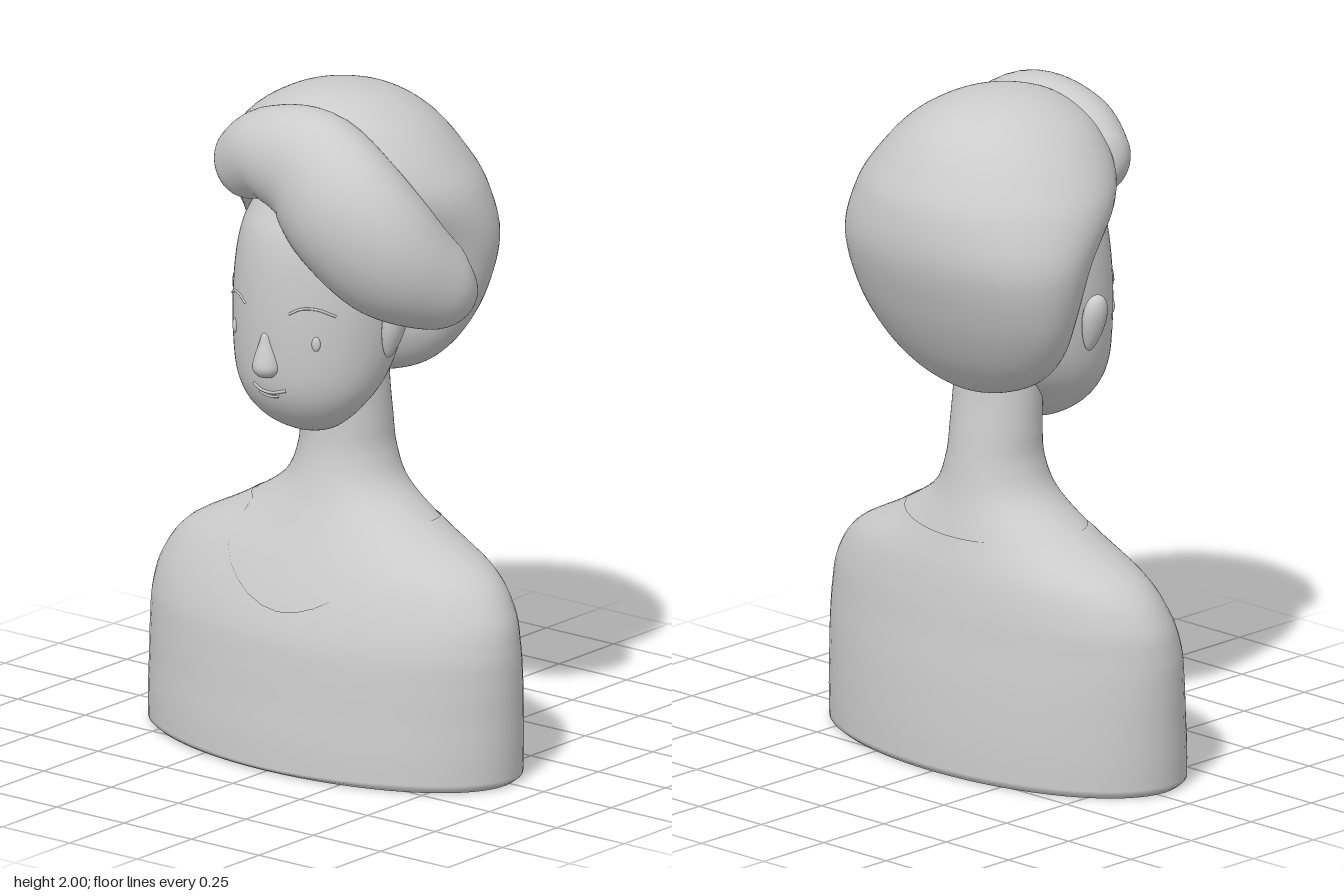
import * as THREE from 'three';

const material = new THREE.MeshStandardMaterial({ color: 0xcccccc });
const openMaterial = new THREE.MeshStandardMaterial({ color: 0xcccccc, side: THREE.DoubleSide });
const V = (x, y, z) => new THREE.Vector3(x, y, z);
const SIDES = 64;

// Smooth interpolation between the rows of a station table; k is a fractional row index.
function sample(table, k) {
  const last = table.length - 1;
  const i = Math.min(Math.floor(k), last - 1), f = k - i;
  return table[i].map((_, c) => {
    const p1 = table[i][c], p2 = table[i + 1][c];
    const p0 = i > 0 ? table[i - 1][c] : 2 * p1 - p2;
    const p3 = i + 2 <= last ? table[i + 2][c] : 2 * p2 - p1;
    return p1 + 0.5 * f * (p2 - p0 + f * (2 * p0 - 5 * p1 + 4 * p2 - p3 + f * (3 * (p1 - p2) + p3 - p0)));
  });
}

// Point on a horizontal oval; angle 0 faces front.
function ovalPoint([y, w, zf, zb], a, inset = 0) {
  return V((w - inset) * Math.sin(a), y, (zf + zb) / 2 + ((zf - zb) / 2 - inset) * Math.cos(a));
}

// Skin closed rings of points into a smooth surface: ringPoint(v, angle), v from 0 to 1.
function loft(rows, ringPoint) {
  const pos = [], index = [];
  for (let i = 0; i <= rows; i++) {
    for (let j = 0; j < SIDES; j++) {
      pos.push(...ringPoint(i / rows, (j / SIDES) * Math.PI * 2).toArray());
      if (i === rows) continue;
      const a = i * SIDES + j, b = i * SIDES + (j + 1) % SIDES;
      index.push(a, b, b + SIDES, a, b + SIDES, a + SIDES);
    }
  }
  const g = new THREE.BufferGeometry();
  g.setAttribute('position', new THREE.Float32BufferAttribute(pos, 3));
  g.setIndex(index);
  g.computeVertexNormals();
  return g;
}

const loftTable = (table, rows) =>
  loft(rows, (v, a) => ovalPoint(sample(table, v * (table.length - 1)), a));

// Torso and neck: [y, half width, front z, back z] every 0.1 in height
const BODY = [
  [0, 0.642, 0.36, -0.305], [0.1, 0.645, 0.355, -0.303], [0.2, 0.645, 0.345, -0.297],
  [0.3, 0.645, 0.335, -0.288], [0.4, 0.64, 0.32, -0.275], [0.5, 0.615, 0.285, -0.262],
  [0.6, 0.535, 0.24, -0.243], [0.7, 0.35, 0.19, -0.215], [0.8, 0.2, 0.145, -0.188],
  [0.9, 0.15, 0.117, -0.17], [1.0, 0.143, 0.11, -0.155], [1.1, 0.142, 0.11, -0.14],
  [1.2, 0.142, 0.11, -0.13],
];

// Head, from chin to crown
const HEAD = [
  [0.988, 0, 0.14, 0.14], [0.998, 0.065, 0.195, 0.09], [1.03, 0.125, 0.255, 0.06],
  [1.08, 0.178, 0.305, 0.01], [1.15, 0.22, 0.338, -0.06], [1.25, 0.243, 0.351, -0.12],
  [1.4, 0.25, 0.355, -0.16], [1.55, 0.235, 0.345, -0.16], [1.65, 0.205, 0.315, -0.15],
  [1.73, 0.14, 0.25, -0.1], [1.77, 0, 0.06, 0.06],
];

// Main mass of hair, from nape to crown
const HAIR = [
  [1.117, 0, -0.115, -0.115], [1.13, 0.11, -0.06, -0.16], [1.18, 0.235, 0, -0.215],
  [1.27, 0.33, 0.04, -0.28], [1.4, 0.395, 0.06, -0.345], [1.56, 0.43, 0.12, -0.395],
  [1.7, 0.417, 0.25, -0.388], [1.8, 0.365, 0.29, -0.345], [1.9, 0.275, 0.26, -0.272],
  [1.965, 0.17, 0.18, -0.175], [1.993, 0.08, 0.09, -0.07], [2.0, 0, 0.01, 0.01],
];

// Swept fringe: [x, y, z, half height, half depth] along its spine
const FRINGE = [
  [-0.265, 1.75, 0.2, 0.085, 0.07], [-0.19, 1.775, 0.215, 0.11, 0.095],
  [-0.07, 1.82, 0.225, 0.145, 0.13], [0.08, 1.8, 0.225, 0.185, 0.15],
  [0.215, 1.69, 0.225, 0.205, 0.168], [0.32, 1.56, 0.16, 0.19, 0.165],
  [0.405, 1.47, 0.05, 0.135, 0.13], [0.45, 1.43, -0.05, 0.09, 0.09],
];

// Height of the scooped neckline around the body
function neckline(a) {
  const t = Math.abs(a > Math.PI ? a - 2 * Math.PI : a);
  return 0.47 + 0.255 * THREE.MathUtils.smoothstep(t, 0, 0.96) - 0.03 * THREE.MathUtils.smoothstep(t, 1.6, Math.PI);
}

function fringeGeometry() {
  const n = FRINGE.length - 1;
  const at = k => { const r = sample(FRINGE, k); return V(r[0], r[1], r[2]); };
  return loft(64, (v, a) => {
    const t = (1 - Math.cos(v * Math.PI)) / 2, k = t * n;
    const T = at(Math.min(k + 0.05, n)).sub(at(Math.max(k - 0.05, 0))).normalize();
    const D = V(0, 0, 1).addScaledVector(T, -T.z).normalize();
    const A = T.clone().cross(D);
    // rounded ends
    const e = Math.max(0, 1 - t / 0.14, 1 - (1 - t) / 0.16);
    const round = Math.sqrt(Math.max(0, 1 - e * e));
    const [, , , h, d] = sample(FRINGE, k);
    return at(k).addScaledVector(D, d * round * Math.cos(a)).addScaledVector(A, h * round * Math.sin(a));
  });
}

// Long narrow ear, tapering to the lobe
function earGeometry() {
  const g = new THREE.SphereGeometry(1, 24, 20), p = g.attributes.position;
  for (let i = 0; i < p.count; i++) {
    const y = p.getY(i), s = 0.82 + 0.25 * y;
    p.setXYZ(i, p.getX(i) * 0.038 * s, y * 0.09, p.getZ(i) * 0.046 * s);
  }
  g.computeVertexNormals();
  return g;
}

export function createModel() {
  const model = new THREE.Group();
  const add = (name, geometry, mat = material) => {
    const mesh = new THREE.Mesh(geometry, mat);
    mesh.name = name;
    model.add(mesh);
    return mesh;
  };

  // Shirt, open below, and the neck and chest just inside its neckline
  add('shirt', loft(60, (v, a) => {
    const y = v * neckline(a);
    return ovalPoint(sample(BODY, y * 10), a, v === 0 ? 0.015 : 0);
  }), openMaterial);
  add('neck', loft(40, (v, a) => {
    const y = THREE.MathUtils.lerp(neckline(a) - 0.02, 1.18, v);
    return ovalPoint(sample(BODY, y * 10), a, 0.004);
  }), openMaterial);

  const head = add('head', loftTable(HEAD, 60));
  add('hair', loftTable(HAIR, 66));
  add('fringe', fringeGeometry());

  // Place points on the face by projecting from the front
  const ray = new THREE.Raycaster();
  const onFace = (x, y) => {
    ray.set(V(x, y, 1), V(0, 0, -1));
    const hit = ray.intersectObject(head)[0];
    return V(x, y, hit ? hit.point.z : 0.3);
  };
  const faceLine = (name, points, radius) => {
    const flat = new THREE.CatmullRomCurve3(points.map(([x, y]) => V(x, y, 0)));
    const curve = new THREE.CatmullRomCurve3(flat.getPoints(12).map(p => onFace(p.x, p.y)));
    add(name, new THREE.TubeGeometry(curve, 24, radius, 8));
  };

  // Paired features
  for (const [side, s] of [['left', 1], ['right', -1]]) {
    const eye = add(side + 'Eye', new THREE.SphereGeometry(1, 20, 14));
    eye.scale.set(0.013, 0.022, 0.008);
    eye.position.copy(onFace(s * 0.15, 1.308));
    eye.rotation.y = s * 0.6;
    faceLine(side + 'Eyebrow', [[s * 0.08, 1.395], [s * 0.115, 1.413], [s * 0.155, 1.411], [s * 0.192, 1.39]], 0.004);
    const ear = add(side + 'Ear', earGeometry());
    ear.position.set(s * 0.272, 1.328, 0.1);
    ear.rotation.z = -s * 0.22;
  }

  // Nose: a teardrop half sunk into the face
  const noseProfile = new THREE.SplineCurve([[0, 1.19], [0.024, 1.195], [0.041, 1.218], [0.036, 1.25],
    [0.021, 1.295], [0.013, 1.32], [0, 1.332]].map(([x, y]) => new THREE.Vector2(x, y)));
  add('nose', new THREE.LatheGeometry(
    noseProfile.getPoints(24).map(p => new THREE.Vector2(Math.max(p.x, 0), p.y)), 28)).position.z = 0.346;

  // Smile and lower lip
  faceLine('mouth', [[-0.055, 1.16], [-0.03, 1.147], [0.01, 1.143], [0.062, 1.157]], 0.005);
  faceLine('lowerLip', [[-0.035, 1.137], [0, 1.13], [0.035, 1.135]], 0.004);

  return model;
}
